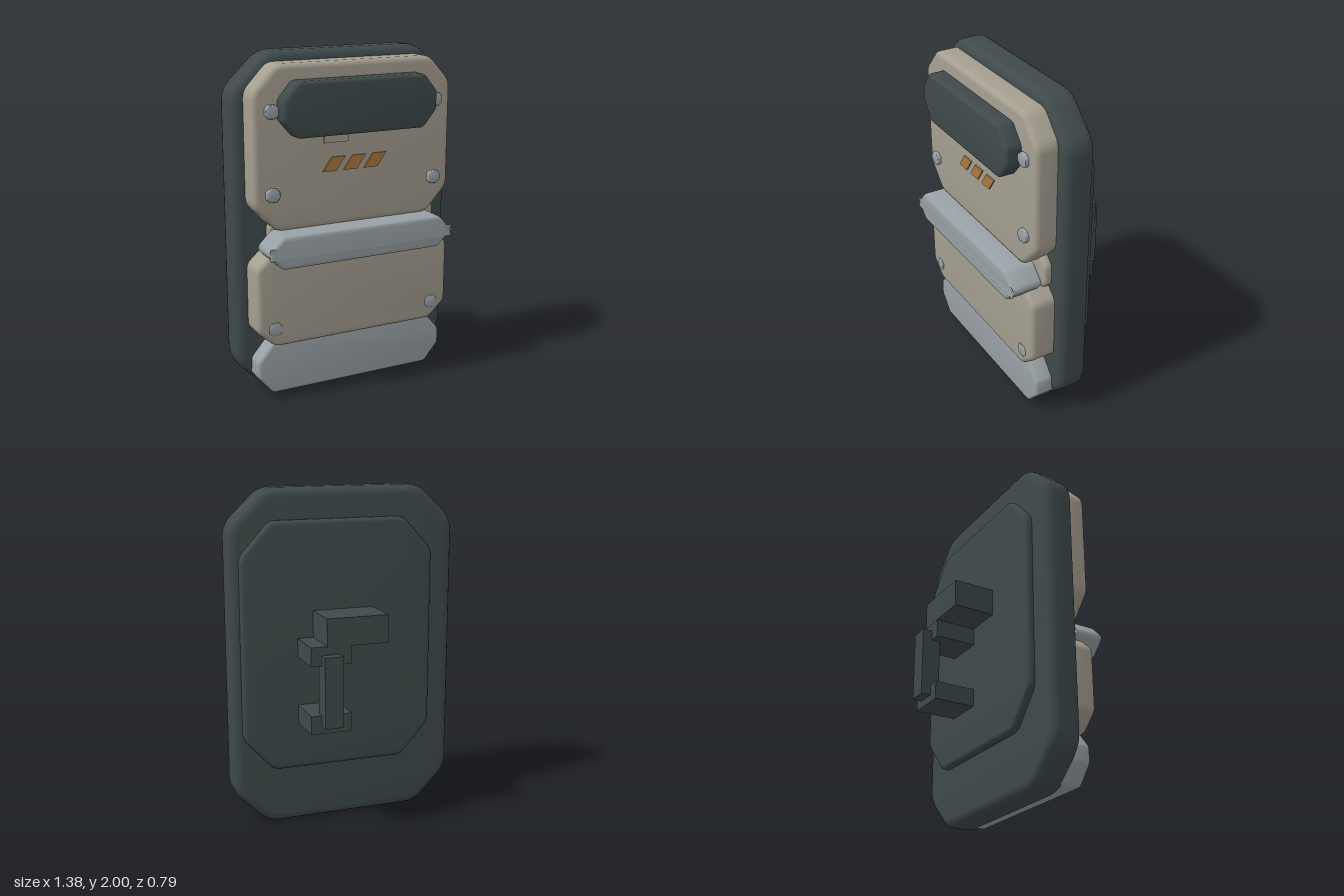
import * as THREE from 'three';
import { toCreasedNormals } from 'three/addons/utils/BufferGeometryUtils.js';

const paint = (name, color) => {
  const m = new THREE.MeshStandardMaterial({ color });
  m.name = name;
  return m;
};

export function createModel() {
  const dark = paint('dark slate', 0x3f4a4b);
  const beige = paint('warm beige', 0xa59f91);
  const steel = paint('steel grey', 0x98a1a5);
  const orange = paint('burnt orange', 0xac7840);

  const group = new THREE.Group();
  group.name = 'shield';

  const add = (name, geometry, material) => {
    const mesh = new THREE.Mesh(geometry, material);
    mesh.name = name;
    group.add(mesh);
    return mesh;
  };

  // Outline with softened corners: each corner is replaced by a short curve of reach d
  const softOutline = (corners, d) => {
    const pts = corners.map(([x, y]) => new THREE.Vector2(x, y));
    const shape = new THREE.Shape();
    pts.forEach((p, i) => {
      const prev = pts[(i + pts.length - 1) % pts.length];
      const next = pts[(i + 1) % pts.length];
      const a = p.clone().add(prev.clone().sub(p).setLength(d));
      const b = p.clone().add(next.clone().sub(p).setLength(d));
      if (i === 0) shape.moveTo(a.x, a.y);
      else shape.lineTo(a.x, a.y);
      shape.quadraticCurveTo(p.x, p.y, b.x, b.y);
    });
    shape.closePath();
    return shape;
  };

  // Eight-sided plate with rounded edges; cx, cy are the corner cuts
  const plate = (name, material, [x0, x1], [y0, y1], [z0, z1], cx, cy, bevel, soft = bevel) => {
    const shape = softOutline([
      [x0 + cx, y0], [x1 - cx, y0], [x1, y0 + cy], [x1, y1 - cy],
      [x1 - cx, y1], [x0 + cx, y1], [x0, y1 - cy], [x0, y0 + cy],
    ], soft);
    const geo = new THREE.ExtrudeGeometry(shape, {
      depth: z1 - z0 - 2 * bevel, bevelEnabled: true, bevelThickness: bevel,
      bevelSize: bevel, bevelOffset: -bevel, bevelSegments: 4, curveSegments: 5,
    });
    geo.translate(0, 0, z0 + bevel);
    return add(name, toCreasedNormals(geo, 0.6), material);
  };

  const box = (name, material, [x0, x1], [y0, y1], [z0, z1]) => {
    const mesh = add(name, new THREE.BoxGeometry(x1 - x0, y1 - y0, z1 - z0), material);
    mesh.position.set((x0 + x1) / 2, (y0 + y1) / 2, (z0 + z1) / 2);
  };

  // Body slab and raised back plate
  plate('bodySlab', dark, [-0.69, 0.69], [0, 2], [-0.045, 0.145], 0.215, 0.21, 0.05, 0.07);
  plate('backPlate', dark, [-0.535, 0.635], [0.35, 1.82], [-0.087, 0.05], 0.18, 0.2, 0.025, 0.04);

  // Front armour panels
  plate('upperPanel', beige, [-0.62, 0.62], [1.02, 1.945], [0.1, 0.275], 0.14, 0.15, 0.03, 0.04);
  plate('lowerPanel', beige, [-0.62, 0.62], [0.345, 0.92], [0.1, 0.293], 0.11, 0.1, 0.03, 0.03);
  plate('middleFiller', beige, [-0.5, 0.58], [0.86, 1.08], [0.1, 0.188], 0.05, 0.05, 0.02, 0.02);
  plate('bottomGuard', steel, [-0.605, 0.605], [0.04, 0.355], [0.1, 0.25], 0.095, 0.11, 0.018);
  plate('crossBar', steel, [-0.577, 0.577], [0.833, 1.022], [0.2, 0.393], 0.08, 0.08, 0.022, 0.018);
  plate('visor', dark, [-0.476, 0.476], [1.55, 1.857], [0.22, 0.368], 0.085, 0.1, 0.02);

  // Mirrored studs
  for (const y of [1.695, 1.235, 0.455]) {
    for (const x of [-0.512, 0.512]) {
      plate('stud', steel, [x - 0.04, x + 0.04], [y - 0.038, y + 0.038], [0.24, 0.299],
        0.02, 0.02, 0.007);
    }
  }

  // Three slanted stripes and a small tab under the visor
  for (let i = 0; i < 3; i++) {
    const x = -0.208 + i * 0.13;
    const shape = new THREE.Shape([[x, 1.335], [x + 0.085, 1.335], [x + 0.142, 1.415], [x + 0.057, 1.415]]
      .map(([px, py]) => new THREE.Vector2(px, py)));
    const geo = new THREE.ExtrudeGeometry(shape, { depth: 0.0095, bevelEnabled: false });
    geo.translate(0, 0, 0.2745);
    add('stripe', geo, orange);
  }
  box('tab', beige, [-0.2, -0.05], [1.497, 1.57], [0.274, 0.284]);

  // Rear handle: mounts and grip
  box('forearmMount', dark, [-0.16, 0.21], [1.135, 1.298], [-0.338, -0.07]);
  box('upperGripMount', dark, [0.065, 0.305], [1.03, 1.14], [-0.336, -0.07]);
  box('lowerGripMount', dark, [0.065, 0.305], [0.632, 0.74], [-0.336, -0.07]);
  box('grip', dark, [0.132, 0.242], [0.675, 1.09], [-0.394, -0.282]);

  return group;
}
